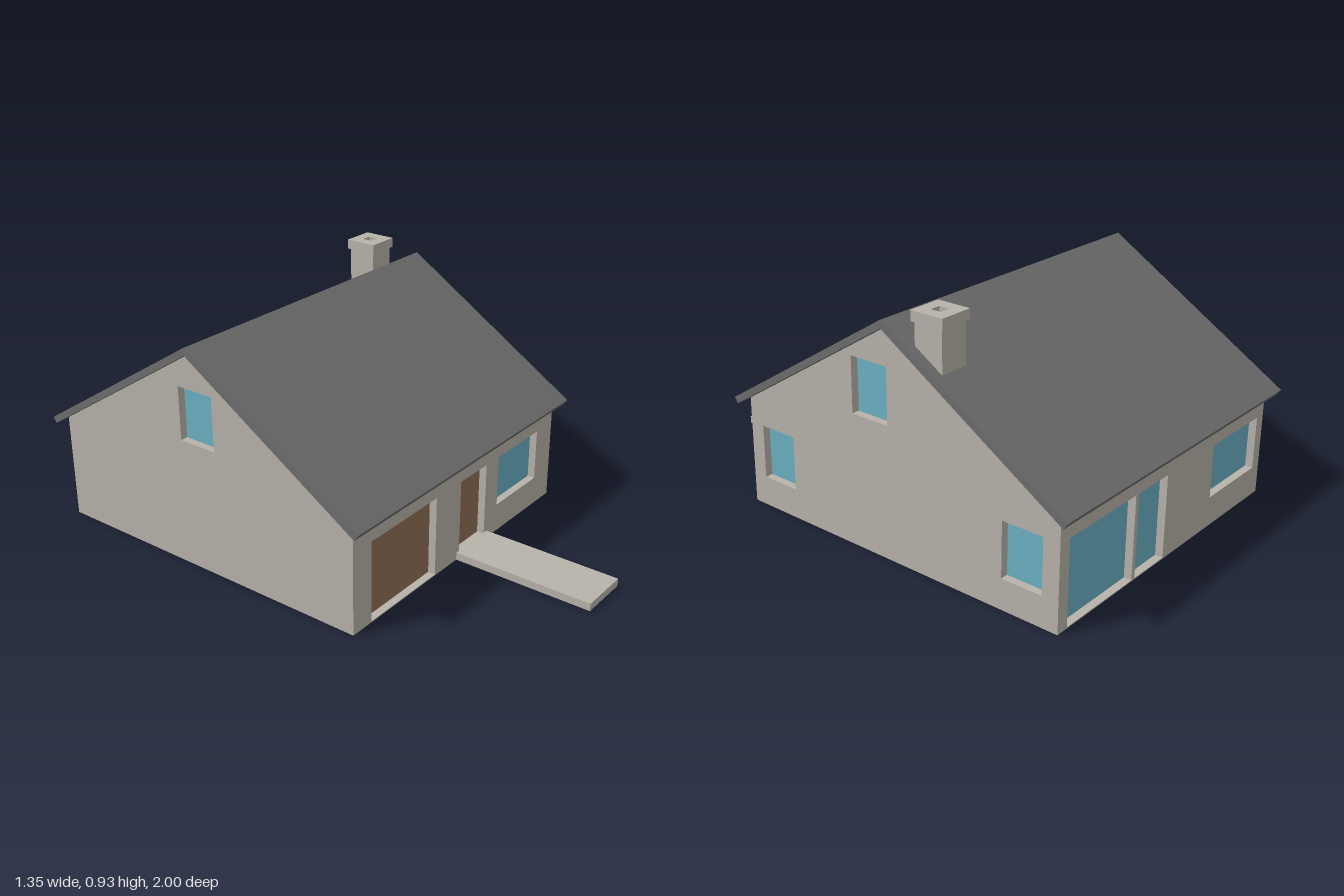
import * as THREE from 'three';

const mat = (name, color) => {
  const m = new THREE.MeshStandardMaterial({ color, side: THREE.DoubleSide });
  m.name = name;
  return m;
};

export function createModel() {
  const house = new THREE.Group();
  house.name = 'house';

  const plaster = mat('plaster', 0xb8b3aa);
  const slate = mat('slate', 0x6d6d6d);
  const glass = mat('glass', 0x6bb0c2);
  const wood = mat('wood', 0x906f55);

  const add = (parent, name, geometry, material, x = 0, y = 0, z = 0) => {
    const mesh = new THREE.Mesh(geometry, material);
    mesh.name = name;
    mesh.position.set(x, y, z);
    parent.add(mesh);
    return mesh;
  };
  const polygon = pts => new THREE.Shape(pts.map(p => new THREE.Vector2(...p)));

  // Main dimensions
  const halfX = 0.64, ridgeZ = -0.257, halfZ = 0.697;
  const ridgeTop = 0.885, pitch = 0.6285, eaveRun = 0.743, roofThick = 0.025;
  const cos = 1 / Math.hypot(1, pitch), sin = pitch * cos;
  const ridgeUnder = ridgeTop - roofThick / cos;
  const wallTop = ridgeUnder - halfZ * pitch;
  const recess = 0.03;

  // A thin wall in its own plane (u, y), with recessed panes: [name, u0, u1, y0, y1, material]
  function wall(name, outline, openings, turn, x, z) {
    const group = new THREE.Group();
    group.name = name;
    const shape = polygon(outline);
    for (const [part, u0, u1, y0, y1, material] of openings) {
      shape.holes.push(new THREE.Path(
        [[u0, y0], [u0, y1], [u1, y1], [u1, y0]].map(p => new THREE.Vector2(...p))));
      const w = u1 - u0, h = y1 - y0, cu = (u0 + u1) / 2, cy = (y0 + y1) / 2;
      add(group, part, new THREE.PlaneGeometry(w, h), material, cu, cy, -recess);
      // Sides of the opening, facing into it
      for (const s of [-1, 1]) {
        add(group, part + 'Jamb', new THREE.PlaneGeometry(recess, h).rotateY(-s * Math.PI / 2),
          plaster, cu + s * w / 2, cy, -recess / 2);
        add(group, part + 'Sill', new THREE.PlaneGeometry(w, recess).rotateX(s * Math.PI / 2),
          plaster, cu, cy + s * h / 2, -recess / 2);
      }
    }
    add(group, name + 'Face', new THREE.ShapeGeometry(shape), plaster);
    group.rotation.y = turn;
    group.position.set(x, 0, z);
    house.add(group);
  }

  const longWall = [[-halfX, 0], [halfX, 0], [halfX, wallTop], [-halfX, wallTop]];
  const gable = c => [[c - halfZ, 0], [c + halfZ, 0], [c + halfZ, wallTop],
    [c, ridgeUnder], [c - halfZ, wallTop]];

  wall('frontWall', longWall, [
    ['garageDoor', -0.54, -0.16, 0.004, 0.32, wood],
    ['frontDoor', -0.005, 0.165, 0.025, 0.32, wood],
    ['frontWindow', 0.25, 0.53, 0.115, 0.32, glass],
  ], 0, 0, ridgeZ + halfZ);

  wall('backWall', longWall, [
    ['patioWindow', -0.59, -0.223, 0.004, 0.32, glass],
    ['patioDoor', -0.205, -0.028, 0.004, 0.32, glass],
    ['backWindow', 0.277, 0.595, 0.115, 0.32, glass],
  ], Math.PI, 0, ridgeZ - halfZ);

  wall('leftWall', gable(-ridgeZ), [
    ['sideWindow', -0.38, -0.22, 0.115, 0.322, glass],
    ['sideWindow', 0.73, 0.89, 0.115, 0.322, glass],
    ['gableWindow', 0.085, 0.245, 0.503, 0.712, glass],
  ], Math.PI / 2, halfX, 0);

  wall('rightWall', gable(ridgeZ), [
    ['gableWindow', -0.335, -0.175, 0.503, 0.712, glass],
  ], -Math.PI / 2, -halfX, 0);

  // Roof: one chevron section run along x
  const eaveY = ridgeTop - eaveRun * pitch;
  const inU = eaveRun - sin * roofThick, inY = eaveY - cos * roofThick;
  const roofHalf = 0.675;
  const roof = new THREE.ExtrudeGeometry(polygon([
    [0, ridgeTop], [-eaveRun, eaveY], [-inU, inY], [0, ridgeUnder], [inU, inY], [eaveRun, eaveY],
  ]), { depth: roofHalf * 2, bevelEnabled: false });
  roof.translate(0, 0, -roofHalf).rotateY(Math.PI / 2);
  add(house, 'roof', roof, slate, 0, 0, ridgeZ);

  // Chimney shaft, with its foot cut to the roof pitch
  const chimneyX = 0.58, chimneyZ = -0.427, half = 0.057;
  const footY = u => ridgeTop - 0.012 - (u + ridgeZ - chimneyZ) * pitch;
  const shaft = new THREE.ExtrudeGeometry(polygon([
    [-half, footY(-half)], [half, footY(half)], [half, 0.896], [-half, 0.896],
  ]), { depth: half * 2, bevelEnabled: false });
  shaft.translate(0, 0, -half).rotateY(Math.PI / 2);
  add(house, 'chimneyShaft', shaft, plaster, chimneyX, 0, chimneyZ);

  // Chimney cap with a square flue
  const square = r => [[-r, -r], [r, -r], [r, r], [-r, r]];
  const capShape = polygon(square(0.066));
  capShape.holes.push(polygon(square(0.021)));
  const cap = new THREE.ExtrudeGeometry(capShape, { depth: 0.038, bevelEnabled: false });
  cap.rotateX(-Math.PI / 2);
  add(house, 'chimneyCap', cap, plaster, chimneyX, 0.896, chimneyZ);

  // Front path: a slab open underneath
  const pathX = 0.082, pathW = 0.206, pathH = 0.03, z0 = ridgeZ + halfZ, pathL = 1 - z0;
  add(house, 'pathTop', new THREE.PlaneGeometry(pathW, pathL).rotateX(-Math.PI / 2),
    plaster, pathX, pathH, z0 + pathL / 2);
  add(house, 'pathEnd', new THREE.PlaneGeometry(pathW, pathH), plaster, pathX, pathH / 2, 1);
  for (const s of [-1, 1]) {
    add(house, 'pathSide', new THREE.PlaneGeometry(pathL, pathH).rotateY(s * Math.PI / 2),
      plaster, pathX + s * pathW / 2, pathH / 2, z0 + pathL / 2);
  }

  return house;
}
